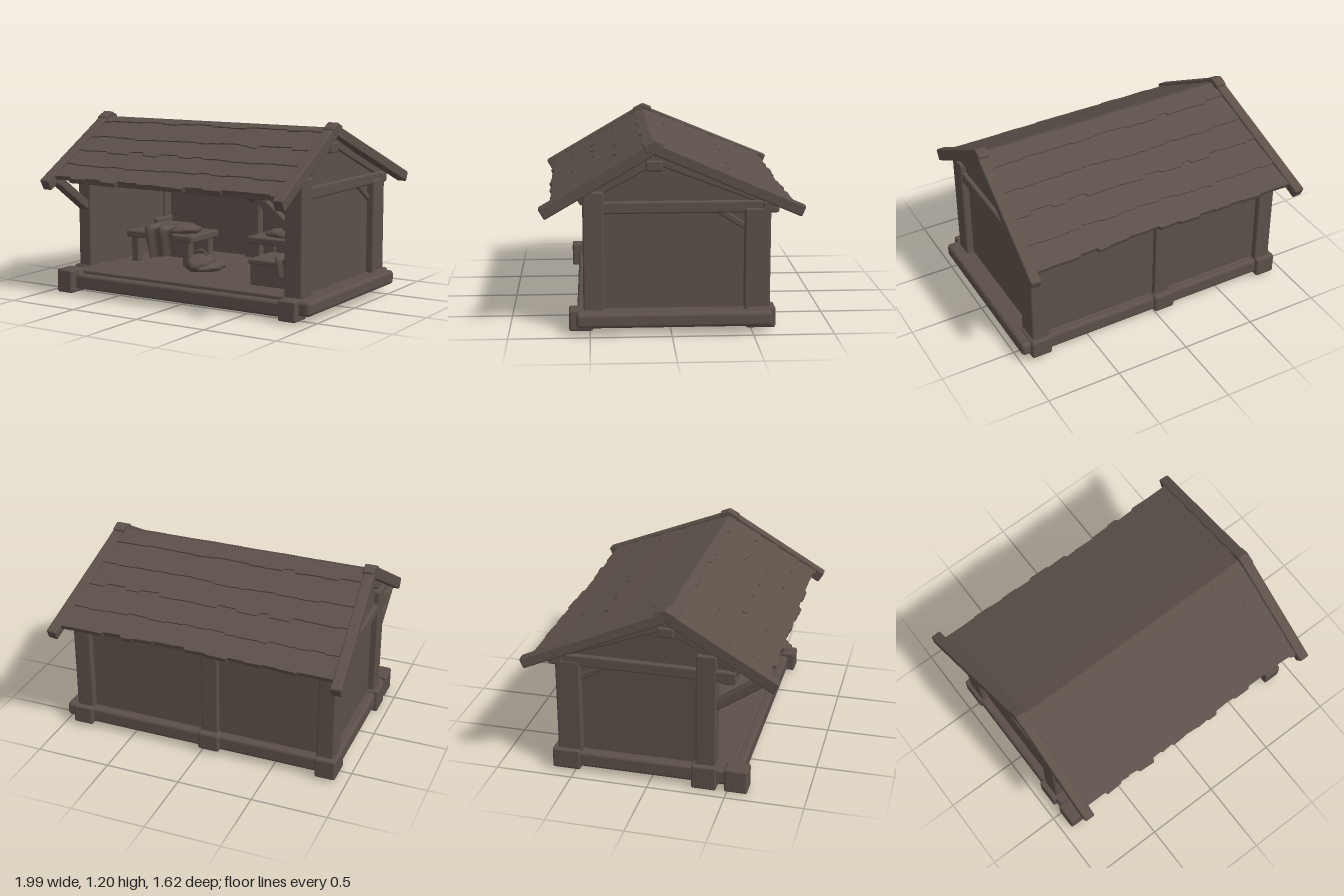
import * as THREE from 'three';
import { RoundedBoxGeometry } from 'three/addons/geometries/RoundedBoxGeometry.js';

export function createModel() {
  const model = new THREE.Group();
  const wood = new THREE.MeshStandardMaterial({ color: 0x5c5049, side: THREE.DoubleSide });
  wood.name = 'weathered brown';
  const V = (x, y, z) => new THREE.Vector3(x, y, z);

  let seed = 7;
  const rnd = () => (seed = (seed * 16807) % 2147483647) / 2147483647;

  function add(name, geometry, parent = model) {
    const mesh = new THREE.Mesh(geometry, wood);
    mesh.name = name;
    parent.add(mesh);
    return mesh;
  }

  // Softly rounded block given by its limits
  function block(name, x0, x1, y0, y1, z0, z1, r = 0.012) {
    const size = [x1 - x0, y1 - y0, z1 - z0];
    const geo = new RoundedBoxGeometry(...size, 2, Math.min(r, Math.min(...size) / 3));
    add(name, geo).position.set((x0 + x1) / 2, (y0 + y1) / 2, (z0 + z1) / 2);
  }

  // Squared timber between two points: w is sideways, h is perpendicular to it
  function beam(name, a, b, w, h, side = V(1, 0, 0)) {
    const dir = b.clone().sub(a);
    const mesh = add(name, new RoundedBoxGeometry(w, h, dir.length(), 2, 0.01));
    const z = dir.normalize();
    const y = z.clone().cross(side).normalize();
    const x = y.clone().cross(z);
    mesh.quaternion.setFromRotationMatrix(new THREE.Matrix4().makeBasis(x, y, z));
    mesh.position.copy(a).add(b).multiplyScalar(0.5);
  }

  // Floor and sills
  block('floor', -0.86, 0.86, 0.1, 0.155, -0.58, 0.53);
  block('frontSill', -0.9, 0.88, 0.03, 0.13, 0.45, 0.58, 0.02);
  block('backSill', -0.9, 0.9, 0.04, 0.15, -0.62, -0.48, 0.025);
  block('leftSill', 0.79, 0.99, 0.055, 0.15, -0.62, 0.585, 0.025);
  block('rightSill', -0.92, -0.78, 0.04, 0.15, -0.62, 0.57, 0.025);
  block('rightPostFoot', -0.94, -0.8, 0.005, 0.165, 0.27, 0.43);

  // Corner blocks and posts; the front right post stands a little further back
  block('frontRightBlock', -0.935, -0.81, 0.005, 0.165, 0.48, 0.63, 0.015);
  block('frontLeftBlock', 0.79, 0.915, 0.02, 0.155, 0.48, 0.63, 0.015);
  block('backRightBlock', -0.93, -0.79, 0.02, 0.16, -0.645, -0.46, 0.015);
  block('backLeftBlock', 0.79, 0.93, 0.03, 0.16, -0.645, -0.46, 0.015);
  block('backMiddleBlock', -0.13, 0.02, 0.03, 0.16, -0.64, -0.5, 0.02);
  block('frontRightPost', -0.905, -0.805, 0.13, 0.92, 0.29, 0.42);
  block('frontLeftPost', 0.785, 0.91, 0.13, 0.89, 0.41, 0.54);
  block('backRightPost', -0.905, -0.79, 0.13, 0.78, -0.61, -0.45);
  block('backLeftPost', 0.79, 0.91, 0.13, 0.78, -0.61, -0.45);
  block('backMiddlePost', -0.11, 0.005, 0.13, 0.78, -0.6, -0.47);

  // Plates, tie beams and walls
  block('frontPlate', -0.9, 0.9, 0.74, 0.81, 0.44, 0.53);
  block('backPlate', -0.91, 0.91, 0.75, 0.82, -0.65, -0.56);
  block('innerBackPlate', -0.83, 0.83, 0.69, 0.75, -0.56, -0.49);
  block('backWall', -0.84, 0.84, 0.13, 0.79, -0.57, -0.53);
  for (const s of [-1, 1]) {
    const sx = (a, b) => (s > 0 ? [a, b] : [-b, -a]);
    block('sideWall', ...sx(0.81, 0.86), 0.13, 0.78, -0.5, s > 0 ? 0.46 : 0.34);
    block('tieBeam', ...sx(0.81, 0.9), 0.75, 0.825, -0.66, 0.54);
    block('ridgeBeamEnd', ...sx(0.8, 0.9), 1.01, 1.075, 0.05, 0.155);
    beam('gableRafter', V(s * 0.845, 0.835, 0.57), V(s * 0.845, 1.09, 0.1), 0.08, 0.08);
    beam('gableRafter', V(s * 0.845, 0.81, -0.63), V(s * 0.845, 1.09, 0.1), 0.08, 0.07);
    beam('sideBrace', V(s * 0.85, 0.65, -0.47), V(s * 0.85, 0.77, -0.28), 0.05, 0.04);

    // Gable panel reaching up to the roof
    const outline = [[-0.53, 0.8], [0.62, 0.8], [0.62, 0.83], [-0.11, 1.13], [-0.53, 0.885]];
    const shape = new THREE.Shape(outline.map((p) => new THREE.Vector2(...p)));
    const gable = add('gablePanel', new THREE.ExtrudeGeometry(shape, { depth: 0.045, bevelEnabled: false }));
    gable.rotation.y = Math.PI / 2;
    gable.position.x = s > 0 ? 0.825 : -0.87;
  }
  block('ridgeBeam', -0.84, 0.84, 1.02, 1.08, 0.06, 0.15);

  // Braces below the eaves
  beam('eaveBrace', V(-0.855, 0.575, 0.41), V(-0.855, 0.785, 0.71), 0.07, 0.06);
  beam('middleBrace', V(-0.045, 0.57, -0.5), V(-0.045, 0.75, -0.26), 0.065, 0.06);
  beam('frontBrace', V(0.81, 0.56, 0.48), V(0.55, 0.76, 0.48), 0.05, 0.06, V(0, 0, 1));

  // Roof: overlapping shingle courses with ragged lower edges
  const ridge = { y: 1.168, z: 0.11 };
  function roofSide(name, eave, flare, sign, stops) {
    const dy = ridge.y - eave.y, dz = Math.abs(eave.z - ridge.z), len = Math.hypot(dy, dz);
    const sin = dy / len, cos = dz / len;
    const slope = new THREE.Group();
    slope.name = name;
    slope.matrixAutoUpdate = false;
    slope.matrix.makeBasis(V(sign, 0, 0), V(0, sin, -sign * cos), V(0, cos, sign * sin));
    slope.matrix.setPosition(0, ridge.y, ridge.z);
    model.add(slope);
    stops.forEach((stop, i) => {
      const top = i ? stops[i - 1] * len - 0.03 : 0, bottom = stop * len;
      const w0 = 0.875 + flare * (top / len), w1 = 0.875 + flare * (bottom / len);
      const shape = new THREE.Shape();
      shape.moveTo(w0, 0);
      shape.lineTo(-w0, 0);
      let x = -w1;
      while (x < w1) {
        const next = Math.min(w1, x + 0.06 + rnd() * 0.1);
        const y = top - bottom - (rnd() - 0.5) * 0.03;
        shape.lineTo(x + 0.015, y);
        shape.lineTo(next, y + (rnd() - 0.5) * 0.014);
        x = next;
      }
      const course = add('shingleCourse', new THREE.ExtrudeGeometry(shape, { depth: 0.03, bevelEnabled: false }), slope);
      course.position.set(0, -top, -0.03);
      course.rotation.x = -Math.atan2(0.01, bottom - top);
    });
  }
  roofSide('frontRoof', { y: 0.8, z: 0.745 }, 0, 1, [0.09, 0.35, 0.57, 0.79, 1]);
  roofSide('backRoof', { y: 0.818, z: -0.735 }, 0.06, -1, [0.15, 0.38, 0.58, 0.8, 1]);

  // Barge boards, splayed outward at the back, with short caps at the peak
  for (const s of [-1, 1]) {
    beam('frontBargeBoard', V(s * 0.885, 1.163, 0.09), V(s * 0.885, 0.755, 0.79), 0.07, 0.08);
    beam('backBargeBoard', V(s * 0.885, 1.16, 0.125), V(s * 0.96, 0.772, -0.8), 0.07, 0.07);
    beam('peakCap', V(s * 0.885, 1.178, 0.09), V(s * 0.885, 1.14, 0.165), 0.075, 0.06);
    beam('peakCap', V(s * 0.885, 1.178, 0.12), V(s * 0.885, 1.15, 0.05), 0.075, 0.06);
  }

  // Tables and chest
  function table(x0, x1, z0, z1, top) {
    block('tableTop', x0, x1, top - 0.05, top, z0, z1);
    for (const x of [x0 + 0.03, x1 - 0.09]) {
      for (const z of [z0 + 0.02, z1 - 0.08]) block('tableLeg', x, x + 0.06, 0.14, top - 0.04, z, z + 0.06);
    }
    block('tableBack', x0 + 0.05, x1 - 0.05, 0.15, top - 0.04, z0 + 0.03, z0 + 0.06);
  }
  table(-0.74, -0.19, -0.25, 0.1, 0.375);
  table(0.12, 0.6, -0.42, -0.12, 0.375);
  block('chest', 0.42, 0.78, 0.15, 0.3, 0.06, 0.34);
  block('chestLid', 0.41, 0.79, 0.29, 0.325, 0.05, 0.35);

  // Cloth draped over a front edge, with folds
  function cloth(name, x0, x1, top, edgeZ, over, hang) {
    const geo = new THREE.PlaneGeometry(1, 1, 16, 14);
    const p = geo.attributes.position;
    for (let i = 0; i < p.count; i++) {
      const u = p.getX(i) + 0.5, s = (0.5 - p.getY(i)) * (over + hang) - over;
      const fold = 0.01 * Math.sin(u * 13 + s * 6), down = Math.max(0, s);
      p.setXYZ(i, x0 + (x1 - x0) * u + down * 0.25,
        top + 0.02 + fold * (s < 0 ? 1 : 0) - down * (1 - 0.2 * u),
        edgeZ + 0.022 + Math.min(0, s) + fold);
    }
    geo.computeVertexNormals();
    add(name, geo);
  }
  cloth('drapedCloth', -0.57, -0.34, 0.4, 0.1, 0.25, 0.22);
  cloth('chestCloth', 0.62, 0.76, 0.335, 0.35, 0.18, 0.12);

  // Lumpy soft heaps
  function heap(name, x, y, z, rx, ry, rz) {
    const geo = new THREE.SphereGeometry(1, 18, 12);
    const p = geo.attributes.position;
    for (let i = 0; i < p.count; i++) {
      const a = V(p.getX(i), p.getY(i), p.getZ(i));
      a.multiplyScalar(1 + 0.1 * Math.sin(a.x * 6 + a.z * 4) * Math.cos(a.y * 5 - a.z * 3));
      p.setXYZ(i, a.x * rx, a.y * ry, a.z * rz);
    }
    geo.computeVertexNormals();
    add(name, geo).position.set(x, y, z);
  }
  heap('foldedBlanket', -0.4, 0.395, -0.05, 0.18, 0.045, 0.12);
  heap('tableHeap', 0.35, 0.39, -0.26, 0.15, 0.04, 0.1);
  heap('bundle', -0.11, 0.2, 0.1, 0.095, 0.065, 0.13);
  heap('looseRag', -0.06, 0.18, 0.07, 0.09, 0.035, 0.14);
  const handle = add('bundleHandle', new THREE.TorusGeometry(0.055, 0.01, 6, 16, Math.PI));
  handle.position.set(-0.11, 0.235, 0.1);
  block('leaningPlank', -0.79, -0.75, 0.15, 0.4, -0.5, -0.3);

  return model;
}
